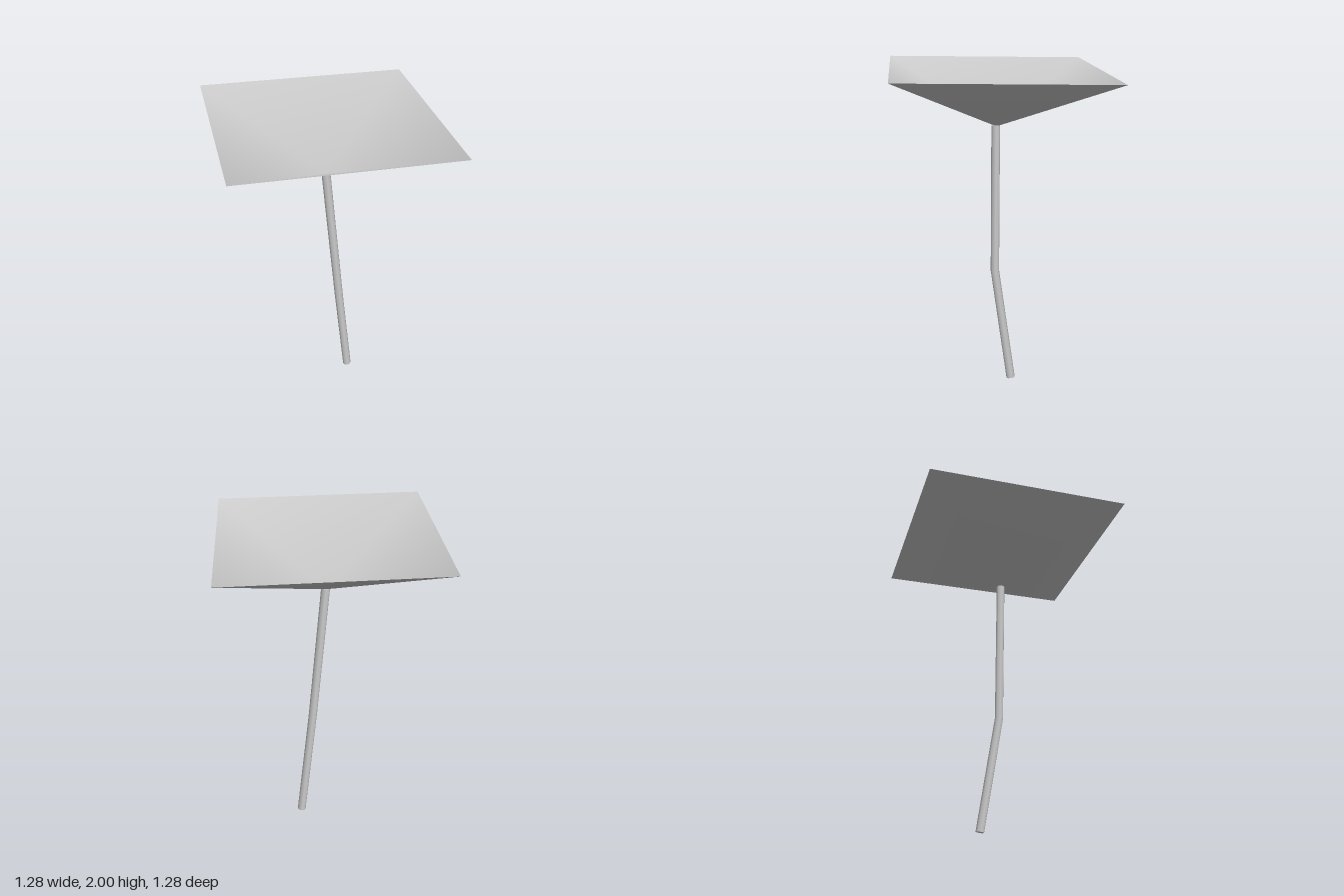
import * as THREE from 'three';

export function createModel() {
  const group = new THREE.Group();
  const grey = new THREE.MeshStandardMaterial({ color: 0xcccccc, side: THREE.DoubleSide });
  grey.name = 'pale grey';

  // Canopy: open, slightly tilted inverted pyramid with smooth normals
  const h = 0.64;
  const canopyGeometry = new THREE.BufferGeometry();
  canopyGeometry.setAttribute('position', new THREE.Float32BufferAttribute([
    0, 1.63, 0,
    -h, 2.0, h,
    h, 1.988, h,
    h, 1.96, -h,
    -h, 1.975, -h,
  ], 3));
  const faces = [];
  for (let i = 0; i < 4; i++) faces.push(0, 1 + ((i + 1) % 4), 1 + i);
  canopyGeometry.setIndex(faces);
  canopyGeometry.computeVertexNormals();
  const canopy = new THREE.Mesh(canopyGeometry, grey);
  canopy.name = 'canopy';
  group.add(canopy);

  // Pole: one cylinder whose three rings follow a bent centre line
  const centres = [
    new THREE.Vector3(0.182, 0.005, -0.073),
    new THREE.Vector3(0.092, 0.72, 0.02),
    new THREE.Vector3(0.008, 1.637, 0.005),
  ];
  const slopes = [[0.126, -0.13], [0, 0], [0.09, 0.016]];
  const poleGeometry = new THREE.CylinderGeometry(0.027, 0.027, 2, 8, 2);
  const p = poleGeometry.attributes.position;
  for (let i = 0; i < p.count; i++) {
    const level = Math.round(p.getY(i)) + 1;
    const c = centres[level];
    const [sx, sz] = slopes[level];
    const x = p.getX(i), z = p.getZ(i);
    p.setXYZ(i, c.x + x, c.y + x * sx + z * sz, c.z + z);
  }
  const pole = new THREE.Mesh(poleGeometry, grey);
  pole.name = 'pole';
  group.add(pole);

  return group;
}
